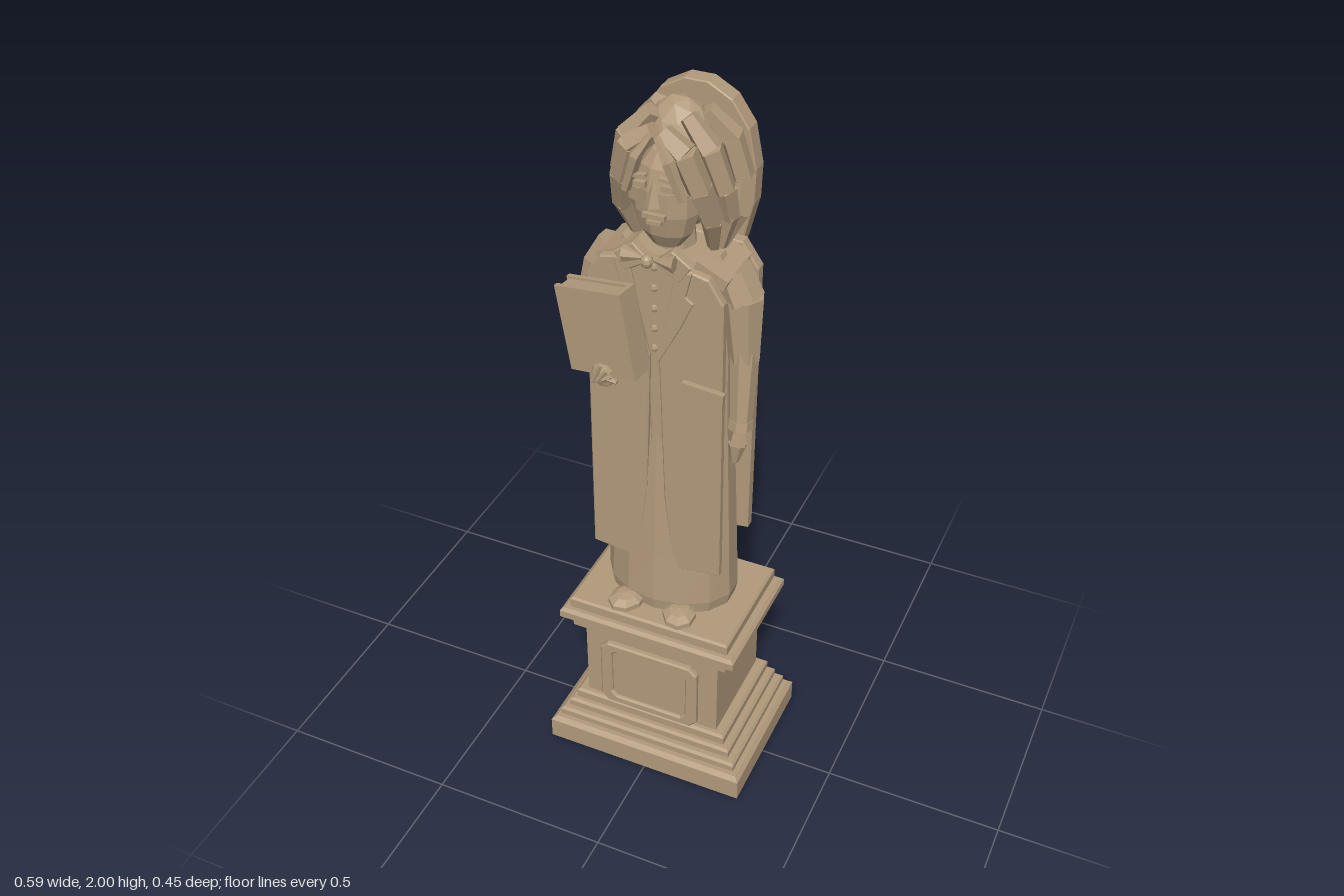
import * as THREE from 'three';

const stone = new THREE.MeshStandardMaterial({ color: 0xb29a7c });
stone.name = 'sandstone';

export function createModel() {
  const model = new THREE.Group();
  model.name = 'statue';
  const V = (p) => new THREE.Vector3(...p);

  // Adds a faceted mesh
  function add(name, geometry, pos = [0, 0, 0], rot = [0, 0, 0], parent = model) {
    const g = geometry.index ? geometry.toNonIndexed() : geometry;
    g.computeVertexNormals();
    const m = new THREE.Mesh(g, stone);
    m.name = name;
    m.position.set(...pos);
    m.rotation.set(...rot);
    parent.add(m);
    return m;
  }
  const box = (name, size, pos, rot, parent) => add(name, new THREE.BoxGeometry(...size), pos, rot, parent);
  const polygon = (pts) => new THREE.Shape(pts.map(([x, y]) => new THREE.Vector2(x, y)));
  // Flat plate with a bevelled rim, from z0 to z1
  function plate(name, pts, z0, z1, bevel = 0.004, hole) {
    const s = polygon(pts);
    if (hole) s.holes.push(new THREE.Path(hole.map(([x, y]) => new THREE.Vector2(x, y))));
    const g = new THREE.ExtrudeGeometry(s, {
      depth: z1 - z0 - 2 * bevel, bevelEnabled: bevel > 0, bevelSize: bevel,
      bevelThickness: bevel, bevelOffset: -bevel, bevelSegments: 1,
    });
    return add(name, g, [0, 0, z0 + bevel]);
  }
  // Horizontal bevelled block for the pedestal
  function tier(name, hx, back, front, y0, y1, b) {
    const g = new THREE.ExtrudeGeometry(polygon([[-hx, -front], [hx, -front], [hx, -back], [-hx, -back]]), {
      depth: y1 - y0 - 2 * b, bevelSize: b, bevelThickness: b, bevelOffset: -b, bevelSegments: 1,
    });
    g.rotateX(-Math.PI / 2);
    add(name, g, [0, y0 + b, 0]);
  }
  // Chain of tapered faceted segments through points [x, y, z, radius]
  function chain(name, pts, sides = 6, flat = 1) {
    const group = new THREE.Group();
    group.name = name;
    for (let i = 0; i < pts.length - 1; i++) {
      const a = V(pts[i].slice(0, 3)), b = V(pts[i + 1].slice(0, 3));
      const d = b.clone().sub(a);
      const g = new THREE.CylinderGeometry(pts[i + 1][3], pts[i][3], d.length() * 1.06, sides);
      g.scale(1, 1, flat);
      const m = add(name + 'Segment', g, a.add(b).multiplyScalar(0.5).toArray(), [0, 0, 0], group);
      m.quaternion.setFromUnitVectors(new THREE.Vector3(0, 1, 0), d.normalize());
    }
    model.add(group);
  }
  const ball = (name, r, pos, rot, w = 8, h = 5) => {
    const g = new THREE.SphereGeometry(1, w, h);
    g.scale(...r);
    return add(name, g, pos, rot);
  };
  const chamfered = (x, y0, y1, c) => [[-x + c, y0], [x - c, y0], [x, y0 + c], [x, y1 - c],
    [x - c, y1], [-x + c, y1], [-x, y1 - c], [-x, y0 + c]];

  // Pedestal
  tier('plinth', 0.295, -0.226, 0.207, 0, 0.088, 0.012);
  tier('lowerStep', 0.272, -0.205, 0.187, 0.088, 0.12, 0.007);
  tier('middleStep', 0.25, -0.19, 0.172, 0.12, 0.153, 0.007);
  tier('upperStep', 0.23, -0.176, 0.16, 0.153, 0.19, 0.007);
  tier('pedestalBlock', 0.2, -0.158, 0.142, 0.185, 0.445, 0.004);
  tier('corniceBase', 0.23, -0.175, 0.16, 0.44, 0.478, 0.007);
  tier('cornice', 0.26, -0.196, 0.182, 0.476, 0.515, 0.009);
  tier('capSlab', 0.235, -0.182, 0.165, 0.513, 0.551, 0.006);
  plate('panelFrame', chamfered(0.147, 0.193, 0.42, 0.022), 0.145, 0.167, 0.005,
    chamfered(0.112, 0.22, 0.393, 0.015));
  plate('panel', chamfered(0.118, 0.213, 0.4, 0.015), 0.143, 0.157, 0.002);

  // Robe: elliptical rings [y, rx, rz]
  const rings = [[0.565, 0.178, 0.128], [0.6, 0.185, 0.133], [0.75, 0.18, 0.124], [0.95, 0.172, 0.115],
    [1.25, 0.16, 0.098], [1.5, 0.16, 0.088], [1.6, 0.15, 0.08], [1.64, 0.13, 0.07]];
  const robe = new THREE.CylinderGeometry(1, 1, 1, 14, rings.length - 1);
  const p = robe.attributes.position;
  for (let i = 0; i < p.count; i++) {
    const [y, rx, rz] = rings[Math.round((p.getY(i) + 0.5) * (rings.length - 1))];
    p.setXYZ(i, p.getX(i) * rx, y, p.getZ(i) * rz - 0.008);
  }
  add('robe', robe);

  // Neck and head
  add('neck', new THREE.CylinderGeometry(0.045, 0.055, 0.1, 8), [0, 1.67, -0.02]);
  const skull = new THREE.IcosahedronGeometry(1, 2);
  skull.scale(0.1, 0.17, 0.088);
  add('head', skull, [0, 1.83, -0.043]);
  ball('face', [0.082, 0.135, 0.06], [0, 1.78, 0.028], [0, 0, 0], 10, 7);

  for (const s of [1, -1]) {
    const mx = (pts) => pts.map(([x, ...r]) => [x * s, ...r]);
    const side = s > 0 ? 'left' : 'right';

    // Open coat, front and back halves
    plate(side + 'CoatFront', mx([[0.012, 1.38], [0.025, 0.95], [0.05, 0.72], [0.182, 0.735],
      [0.178, 1.57], [0.14, 1.63], [0.075, 1.645]]), 0.082, 0.107);
    plate(side + 'CoatBack', mx([[0.004, 0.72], [0.18, 0.745], [0.184, 1.56], [0.14, 1.625], [0.004, 1.63]]),
      -0.131, -0.097);
    plate(side + 'Lapel', mx([[0.012, 1.37], [0.07, 1.48], [0.105, 1.56], [0.085, 1.575], [0.1, 1.64],
      [0.06, 1.645]]), 0.105, 0.114, 0.002);
    box(side + 'PocketFlap', [0.11, 0.028, 0.015], [s * 0.134, 1.32, 0.115], [0, 0, s * (s > 0 ? -0.08 : -0.1)]);
    box(side + 'ShoulderSeam', [0.09, 0.03, 0.15], [s * 0.125, 1.615, -0.01], [0, 0, -s * 0.45]);

    // Shoes
    ball(side + 'Shoe', [0.048, 0.023, 0.06], [s * 0.078, 0.577, 0.125], [0, s * 0.3, 0]);

    // Locks of hair around the face
    chain(side + 'FrontLock', mx([[0.012, 1.96, 0.075, 0.024], [0.065, 1.92, 0.078, 0.033],
      [0.095, 1.83, 0.06, 0.032], [0.112, 1.74, 0.025, 0.028], [0.1, 1.65, -0.015, 0.016]]), 5);
    chain(side + 'MiddleLock', mx([[0.045, 1.975, 0.01, 0.022], [0.1, 1.91, 0.015, 0.032],
      [0.128, 1.81, -0.005, 0.03], [0.13, 1.73, -0.03, 0.027], [0.11, 1.64, -0.035, 0.014]]), 5);
    chain(side + 'BackLock', mx([[0.06, 1.965, -0.06, 0.022], [0.11, 1.9, -0.085, 0.03],
      [0.135, 1.8, -0.1, 0.03], [0.132, 1.71, -0.08, 0.026], [0.105, 1.63, -0.045, 0.014]]), 5);
    chain(side + 'FringeLock', mx([[0.008, 1.96, 0.1, 0.008], [0.04, 1.91, 0.11, 0.016],
      [0.07, 1.82, 0.1, 0.012]]), 5);

    // Facial features
    box(side + 'Eye', [0.03, 0.014, 0.012], [s * 0.035, 1.838, 0.1]);
    box(side + 'Brow', [0.04, 0.008, 0.014], [s * 0.036, 1.862, 0.105], [0, 0, -s * 0.12]);
    box(side + 'Cheek', [0.034, 0.035, 0.014], [s * 0.052, 1.805, 0.085], [0, s * 0.4, 0]);

    // Raised ridges down the back of the hair
    plate(side + 'HairRidge', mx([[0.07, 1.9], [0.098, 1.88], [0.04, 1.47], [0.022, 1.46]]), -0.216, -0.193, 0.005);
    plate(side + 'HairStrip', mx([[0.008, 1.93], [0.058, 1.87], [0.04, 1.6], [0.012, 1.46]]), -0.194, -0.178, 0.002);

    // Neck bow
    const wing = new THREE.ConeGeometry(0.022, 0.062, 6);
    wing.scale(1, 1, 0.8);
    add(side + 'BowWing', wing, [s * 0.034, 1.668, 0.132], [0, 0, s * Math.PI / 2]);
    plate(side + 'Collar', mx([[0.005, 1.65], [0.07, 1.61], [0.1, 1.655], [0.05, 1.69]]), 0.085, 0.115, 0.003);
  }
  ball('bowKnot', [0.016, 0.017, 0.017], [0, 1.666, 0.14], [0, 0, 0], 8, 6);

  // Nose and mouth
  const nose = new THREE.ConeGeometry(0.02, 0.07, 4);
  add('nose', nose, [0, 1.825, 0.105], [-0.2, 0, 0]);
  box('mouth', [0.056, 0.012, 0.012], [0, 1.762, 0.1]);
  box('lowerLip', [0.036, 0.01, 0.012], [0, 1.745, 0.098]);

  // Long hair mass behind the head
  const half = [[0.025, 1.415], [0.08, 1.5], [0.125, 1.6], [0.152, 1.71], [0.155, 1.8], [0.135, 1.9],
    [0.09, 1.965], [0.03, 1.998]];
  plate('backHair', [...half, ...half.map(([x, y]) => [-x, y]).reverse()], -0.181, -0.132, 0.003);

  // Shirt front and buttons
  plate('shirtFront', [[-0.012, 1.0], [0.012, 1.0], [0.02, 1.38], [0.07, 1.64], [-0.07, 1.64], [-0.02, 1.38]],
    0.07, 0.096, 0.002);
  for (let i = 0; i < 5; i++) ball('button', [0.01, 0.011, 0.008], [0, 1.63 - i * 0.056, 0.104], [0, 0, 0], 6, 4);

  // Left arm hanging at the side
  chain('leftUpperArm', [[0.15, 1.6, -0.01, 0.05], [0.18, 1.53, -0.01, 0.055], [0.192, 1.37, -0.002, 0.04]], 7);
  chain('leftForearm', [[0.193, 1.385, 0, 0.038], [0.2, 1.18, 0.03, 0.027]], 7);
  add('leftCuff', new THREE.CylinderGeometry(0.031, 0.032, 0.025, 7), [0.199, 1.19, 0.028], [-0.15, 0, 0]);
  chain('leftHand', [[0.2, 1.18, 0.032, 0.02], [0.197, 1.135, 0.04, 0.026], [0.192, 1.08, 0.042, 0.011]], 6, 0.8);

  // Right arm bent to hold the book
  chain('rightUpperArm', [[-0.15, 1.6, -0.01, 0.05], [-0.178, 1.54, 0, 0.055], [-0.195, 1.42, 0.045, 0.045]], 7);
  chain('rightForearm', [[-0.195, 1.42, 0.04, 0.046], [-0.15, 1.4, 0.115, 0.036], [-0.12, 1.385, 0.15, 0.026]], 7);
  ball('rightHand', [0.034, 0.032, 0.016], [-0.09, 1.365, 0.205], [0, -0.15, 0.3], 7, 5);
  for (let i = 0; i < 4; i++) {
    chain('rightFinger', [[-0.11 + i * 0.014, 1.35 + i * 0.006, 0.216, 0.009],
      [-0.088 + i * 0.014, 1.4 - i * 0.012, 0.218, 0.006]], 5);
  }

  // Book
  const book = new THREE.Group();
  book.name = 'book';
  book.position.set(-0.108, 1.472, 0.165);
  book.rotation.set(0, -0.15, 0.18);
  box('pages', [0.178, 0.215, 0.04], [0, 0, 0], undefined, book);
  for (const z of [-0.025, 0.025]) box('cover', [0.19, 0.228, 0.012], [0, 0, z], undefined, book);
  box('spine', [0.012, 0.228, 0.05], [0.089, 0, 0], undefined, book);
  model.add(book);

  return model;
}
